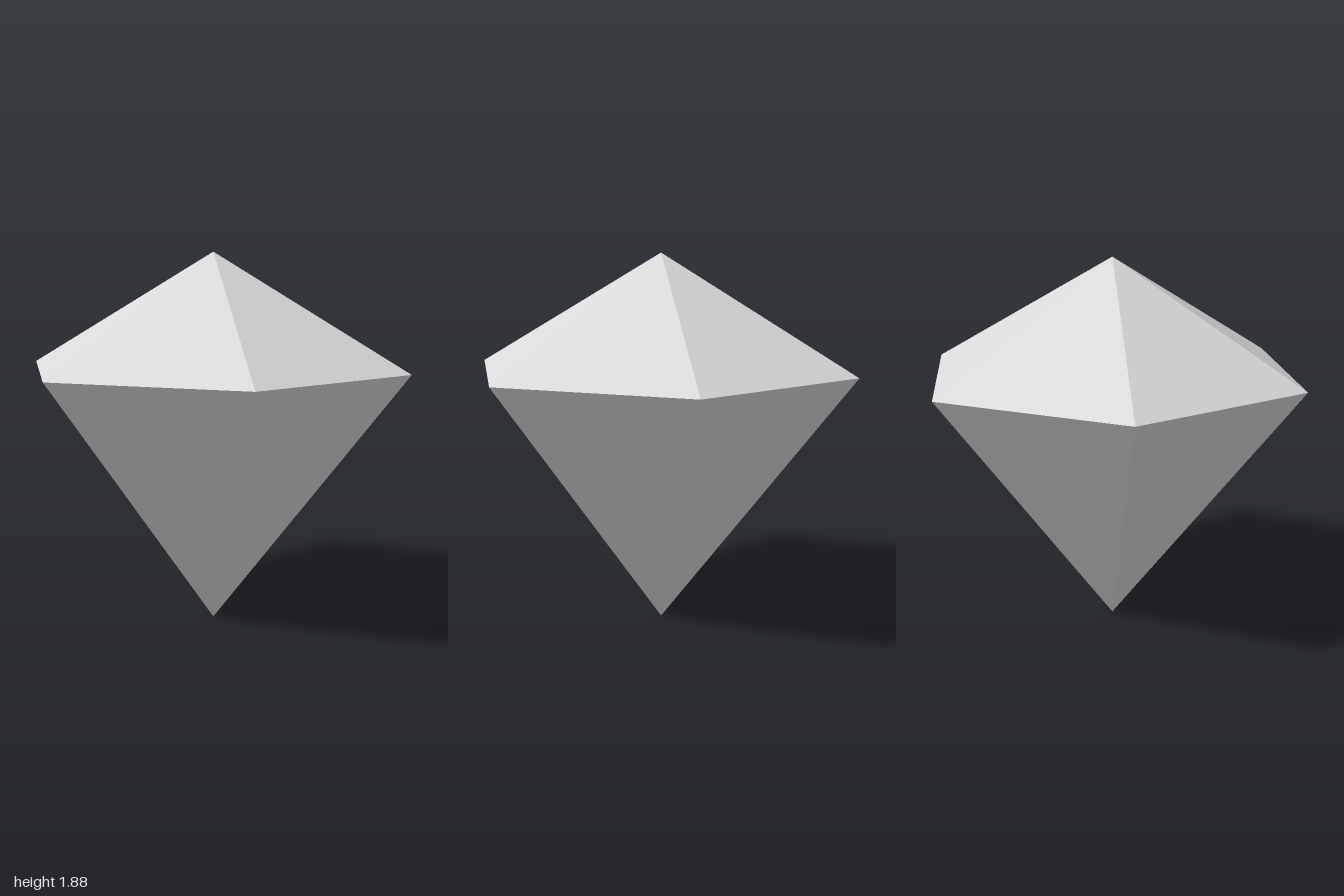
import * as THREE from 'three';

export function createModel() {
  const group = new THREE.Group();
  group.name = 'gem';
  const stone = new THREE.MeshStandardMaterial({ color: 0xd9d9d9 });
  stone.name = 'paleGrey';
  stone.flatShading = true;

  const girdleY = 1.3;
  const topY = 1.875;

  // Six-sided open cone with its corners on the x axis
  function hexCone(name, height, y, pointDown) {
    const geometry = new THREE.ConeGeometry(1, height, 6, 1, true);
    geometry.rotateY(Math.PI / 6);
    if (pointDown) geometry.rotateX(Math.PI);
    const mesh = new THREE.Mesh(geometry, stone);
    mesh.name = name;
    mesh.position.y = y;
    group.add(mesh);
  }

  // Shallow upper facets and deep lower facets meet at the girdle
  hexCone('crown', topY - girdleY, (topY + girdleY) / 2, false);
  hexCone('pavilion', girdleY, girdleY / 2, true);

  return group;
}
